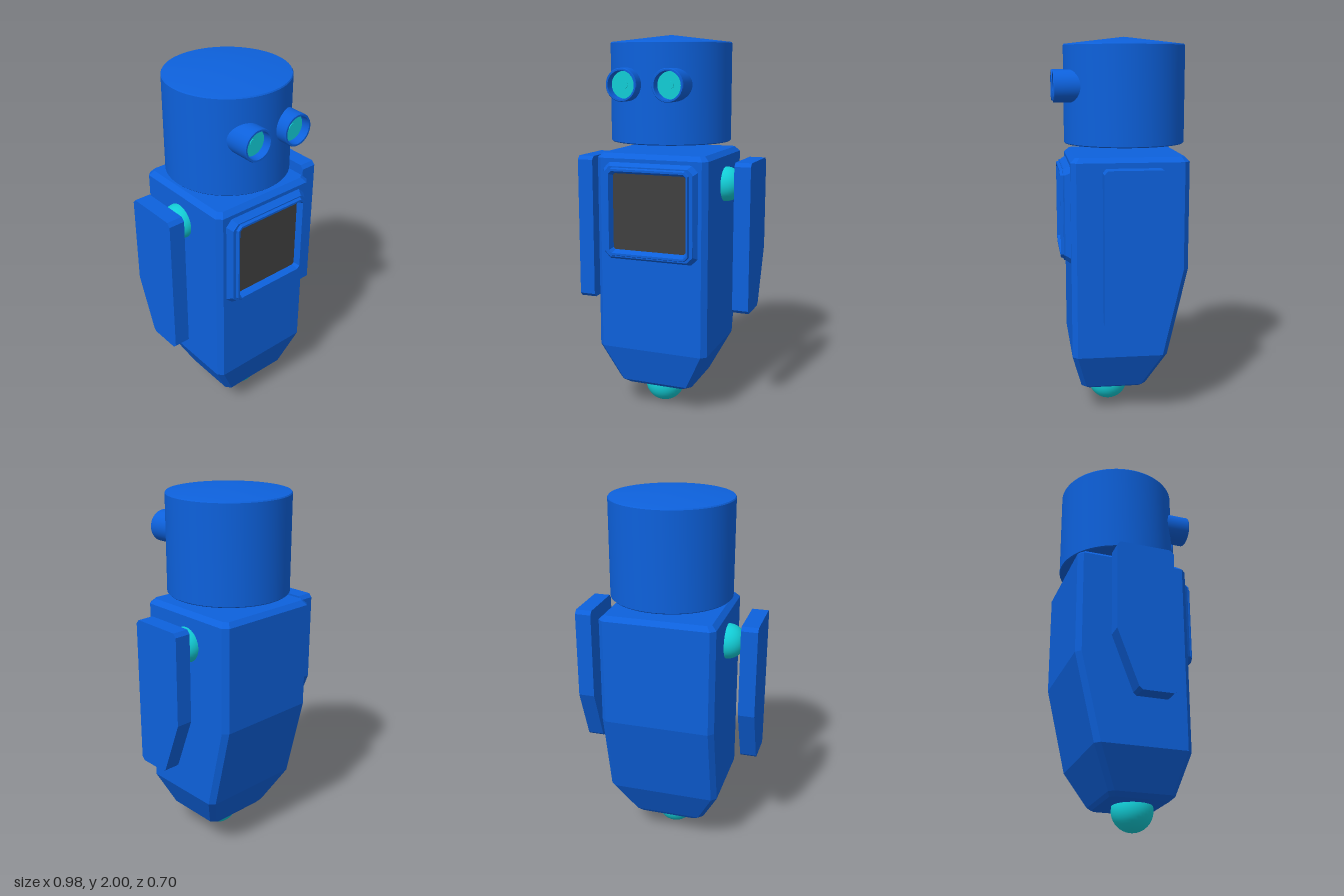
import * as THREE from 'three';
import { toCreasedNormals } from 'three/addons/utils/BufferGeometryUtils.js';

const paint = (name, color) => {
  const m = new THREE.MeshStandardMaterial({ color });
  m.name = name;
  return m;
};

// Rectangle with cut corners, counter-clockwise in (u, v)
function cutRect(u0, u1, v0, v1, c) {
  return [
    [u0 + c, v0], [u1 - c, v0], [u1, v0 + c], [u1, v1 - c],
    [u1 - c, v1], [u0 + c, v1], [u0, v1 - c], [u0, v0 + c],
  ];
}

// Faceted skin through rings [t, u0, u1, v0, v1, cut]; place(u, v, t) gives the corner position
function loft(rings, place, capStart = true, capEnd = true) {
  const loops = rings.map(([t, ...r]) => cutRect(...r).map(([u, v]) => place(u, v, t)));
  const pos = [];
  const tri = (a, b, c) => pos.push(...a, ...b, ...c);
  for (let k = 0; k < loops.length - 1; k++) {
    const p = loops[k], q = loops[k + 1];
    for (let i = 0; i < 8; i++) {
      const j = (i + 1) % 8;
      tri(p[i], p[j], q[j]);
      tri(p[i], q[j], q[i]);
    }
  }
  const first = loops[0], last = loops[loops.length - 1];
  for (let i = 1; i < 7; i++) {
    if (capStart) tri(first[0], first[i + 1], first[i]);
    if (capEnd) tri(last[0], last[i], last[i + 1]);
  }
  const g = new THREE.BufferGeometry();
  g.setAttribute('position', new THREE.Float32BufferAttribute(pos, 3));
  g.computeVertexNormals();
  return g;
}

export function createModel() {
  const blue = paint('blue shell', 0x0d61dc);
  const cyan = paint('cyan', 0x12cdd6);
  const dark = paint('dark screen', 0x404040);

  const model = new THREE.Group();
  model.name = 'robot';
  const add = (name, geometry, material, x = 0, y = 0, z = 0, parent = model) => {
    const mesh = new THREE.Mesh(geometry, material);
    mesh.name = name;
    mesh.position.set(x, y, z);
    parent.add(mesh);
    return mesh;
  };

  // Body: stacked sections [y, back, front, -x, x, cut]
  const section = (y, back, front, x, cut) => [y, back, front, -x, x, cut];
  add('body', loft([
    section(0.13, -0.11, 0.20, 0.17, 0.02),
    section(0.15, -0.125, 0.222, 0.205, 0.025),
    section(0.35, -0.228, 0.275, 0.305, 0.027),
    section(0.81, -0.333, 0.275, 0.305, 0.027),
    section(1.375, -0.333, 0.275, 0.305, 0.027),
    section(1.40, -0.31, 0.25, 0.28, 0.02),
  ], (z, x, y) => [x, y, z]), blue);

  // Screen frame: stepped outside, then back into the recess
  const frame = (z, w, h, cut) => [z, -w, w, 1.10 - h, 1.10 + h, cut];
  const onFront = (x, y, z) => [x, y, z];
  add('screenFrame', loft([
    frame(0.265, 0.265, 0.262, 0.035),
    frame(0.303, 0.243, 0.238, 0.03),
    frame(0.310, 0.243, 0.238, 0.03),
    frame(0.310, 0.225, 0.232, 0.025),
    frame(0.325, 0.220, 0.226, 0.02),
    frame(0.325, 0.212, 0.215, 0.015),
    frame(0.290, 0.200, 0.200, 0.01),
  ], onFront, false, false), blue);
  add('screen', loft([
    frame(0.284, 0.203, 0.203, 0.01),
    frame(0.291, 0.203, 0.203, 0.01),
  ], onFront), dark);

  // Head: drum with a shallow cone on top
  const head = new THREE.Group();
  head.name = 'head';
  model.add(head);
  const drum = new THREE.LatheGeometry([
    [0, 1.45], [0.315, 1.45], [0.32, 1.455], [0.32, 1.957], [0.316, 1.963], [0, 2.0],
  ].map(([r, y]) => new THREE.Vector2(r, y)), 64);
  add('headDrum', toCreasedNormals(drum, 0.5), blue, 0, 0, -0.03, head);

  // Eyes: hollow tubes holding a lens with a small raised pupil
  const tube = new THREE.LatheGeometry([
    [0.083, 0.2], [0.083, 0.345], [0.08, 0.35], [0.071, 0.35], [0.068, 0.30],
  ].map(([r, y]) => new THREE.Vector2(r, y)), 40);
  tube.rotateX(Math.PI / 2);
  const eyeTube = toCreasedNormals(tube, 0.5);
  const lens = new THREE.CylinderGeometry(0.07, 0.07, 0.008, 40).rotateX(Math.PI / 2);
  const pupil = new THREE.CylinderGeometry(0.019, 0.019, 0.008, 24).rotateX(Math.PI / 2);

  // Arm: flat slab with its side outline drawn in (-z, y)
  const outline = new THREE.Shape([
    [-0.107, 0.565], [0.055, 0.565], [0.072, 0.58], [0.182, 0.87],
    [0.182, 1.34], [0.165, 1.36], [-0.107, 1.36], [-0.125, 1.34], [-0.125, 0.583],
  ].map(([x, y]) => new THREE.Vector2(x, y)));
  const arm = new THREE.ExtrudeGeometry(outline, { depth: 0.087, bevelEnabled: false });
  arm.translate(0, 0, -0.0435).rotateY(Math.PI / 2);

  const shoulder = new THREE.SphereGeometry(0.093, 32, 20);
  for (const [side, s] of [['left', 1], ['right', -1]]) {
    add(side + 'EyeTube', eyeTube, blue, s * 0.123, 1.75, 0, head);
    add(side + 'EyeLens', lens, cyan, s * 0.123, 1.75, 0.302, head);
    add(side + 'Pupil', pupil, cyan, s * 0.123, 1.75, 0.306, head);
    add(side + 'Shoulder', shoulder, cyan, s * 0.307, 1.225, -0.042);
    add(side + 'Arm', arm, blue, s * 0.4445, 0, 0);
  }

  // Rolling ball the robot stands on
  add('rollingBall', new THREE.SphereGeometry(0.108, 32, 20), cyan, 0, 0.108, 0.06);

  return model;
}
